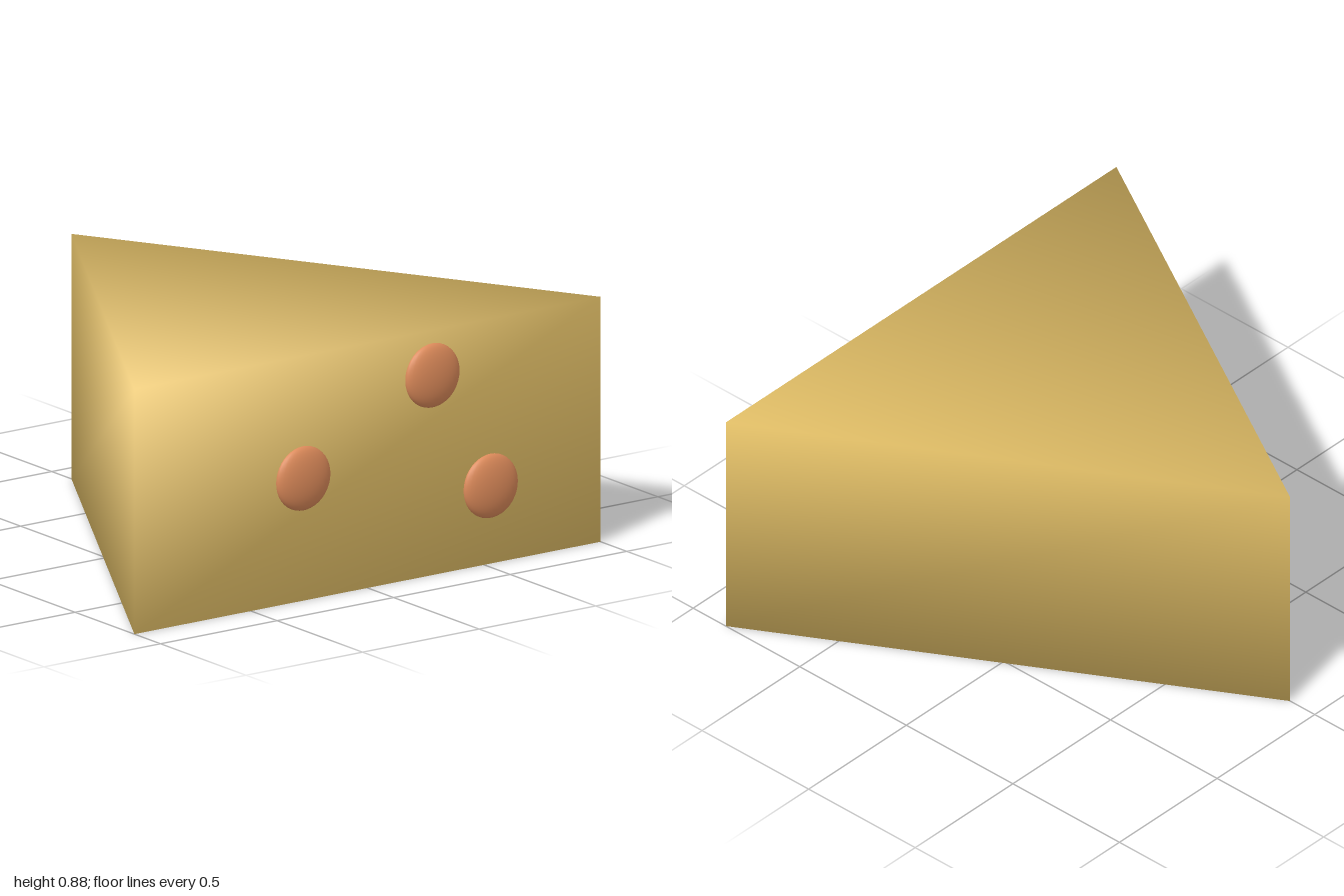
import * as THREE from 'three';

const HEIGHT = 0.88, FRONT = 0.847, BACK = -0.885;

// Triangular prism whose six corners share soft normals across all faces
function wedgeGeometry() {
  const corners = [[-1, FRONT], [1, FRONT], [0, BACK]];
  const centreZ = (2 * FRONT + BACK) / 3;
  const positions = [], normals = [], index = [];
  for (const up of [0, 1]) {
    for (const [x, z] of corners) {
      positions.push(x, up * HEIGHT, z);
      const out = new THREE.Vector3(x, 0, z - centreZ).normalize();
      out.setY(up ? 2 / 3 : -2 / 3).normalize();
      normals.push(out.x, out.y, out.z);
    }
  }
  for (let i = 0; i < 3; i++) {
    const j = (i + 1) % 3;
    index.push(i, j, j + 3, i, j + 3, i + 3);
  }
  index.push(3, 4, 5, 0, 2, 1); // top and bottom
  const geometry = new THREE.BufferGeometry();
  geometry.setAttribute('position', new THREE.Float32BufferAttribute(positions, 3));
  geometry.setAttribute('normal', new THREE.Float32BufferAttribute(normals, 3));
  geometry.setIndex(index);
  return geometry;
}

export function createModel() {
  const group = new THREE.Group();
  group.name = 'cheeseWedge';

  const wedge = new THREE.Mesh(
    wedgeGeometry(),
    new THREE.MeshStandardMaterial({ color: 0xe8c46a })
  );
  wedge.name = 'wedge';
  group.add(wedge);

  // Flattened round spots set into the front face
  const spotGeometry = new THREE.SphereGeometry(0.115, 32, 20);
  const spotMaterial = new THREE.MeshStandardMaterial({ color: 0xdc8a5a });
  [[-0.277, 0.44], [0.277, 0.718], [0.527, 0.28]].forEach(([x, y], i) => {
    const spot = new THREE.Mesh(spotGeometry, spotMaterial);
    spot.name = `spot${i + 1}`;
    spot.position.set(x, y, FRONT);
    spot.scale.z = 0.32;
    group.add(spot);
  });

  return group;
}
